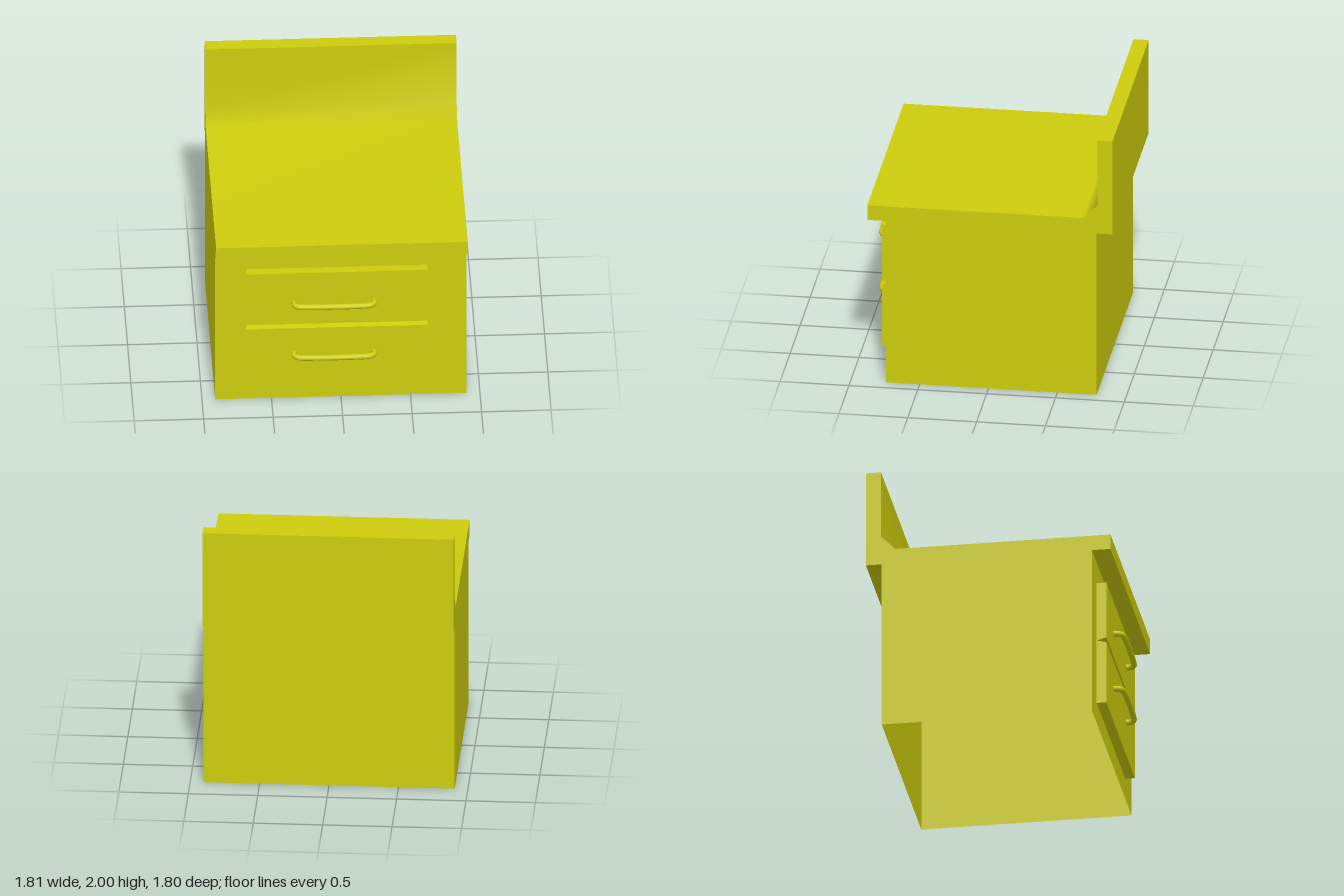
import * as THREE from 'three';

const W = 0.905; // half width of the cabinet
const material = new THREE.MeshStandardMaterial({ color: 0xcccc0d, side: THREE.DoubleSide });

function addMesh(parent, name, geometry) {
  const mesh = new THREE.Mesh(geometry, material);
  mesh.name = name;
  parent.add(mesh);
  return mesh;
}

// Sweeps a [z, y] profile from x0 to x1; it runs up the front, over the top and down the back
function sweep(profile, x0, x1, smooth = false) {
  const positions = [];
  const index = [];
  profile.forEach(([z, y], i) => {
    positions.push(x0, y, z, x1, y, z);
    const a = i * 2;
    if (i < profile.length - 1) index.push(a, a + 1, a + 3, a, a + 3, a + 2);
  });
  let geometry = new THREE.BufferGeometry();
  geometry.setAttribute('position', new THREE.Float32BufferAttribute(positions, 3));
  geometry.setIndex(index);
  if (!smooth) geometry = geometry.toNonIndexed();
  geometry.computeVertexNormals();
  return geometry;
}

// Flat end panel with the outline of a [z, y] profile, facing +x (side 1) or -x (side -1)
function endPanel(profile, x, side) {
  const shape = new THREE.Shape(profile.map(([z, y]) => new THREE.Vector2(-side * z, y)));
  return new THREE.ShapeGeometry(shape).rotateY(side * Math.PI / 2).translate(x, 0, 0);
}

function rectangle(PathType, x0, y0, x1, y1) {
  return new PathType([[x0, y0], [x1, y0], [x1, y1], [x0, y1]].map(p => new THREE.Vector2(...p)));
}

// Bowed pull whose two posts pass through the drawer front
function createHandle(y) {
  const handle = new THREE.Group();
  handle.name = 'handle';
  const half = [[0.285, 0.745], [0.288, 0.81], [0.288, 0.845], [0.262, 0.872], [0.2, 0.88]];
  const points = [
    ...half.map(([x, z]) => new THREE.Vector3(-x, 0, z)),
    ...half.slice().reverse().map(([x, z]) => new THREE.Vector3(x, 0, z)),
  ];
  const curve = new THREE.CatmullRomCurve3(points, false, 'centripetal');
  addMesh(handle, 'handleBar', new THREE.TubeGeometry(curve, 48, 0.021, 12));
  for (const side of [-1, 1]) {
    const cap = addMesh(handle, 'handlePostEnd', new THREE.CircleGeometry(0.021, 12).rotateY(Math.PI));
    cap.position.set(side * 0.285, 0, 0.745);
  }
  handle.position.set(-0.053, y, 0);
  return handle;
}

export function createModel() {
  const model = new THREE.Group();
  model.name = 'drawerCabinet';

  // Counter and backsplash profiles
  const counterEdge = [[0.745, 1.27], [0.88, 1.27], [0.88, 1.385]];
  const worktop = [[0.88, 1.385], [-0.685, 1.385], [-0.79, 1.49], [-0.79, 2]];
  const back = [[-0.79, 2], [-0.9, 2], [-0.9, 1.27], [-0.785, 1.27], [-0.785, 0]];
  addMesh(model, 'counterEdge', sweep(counterEdge, -W, W));
  addMesh(model, 'worktopAndBacksplash', sweep(worktop, -W, W, true));
  addMesh(model, 'backPanel', sweep(back, -W, W));

  // Side panels follow the whole outline
  const outline = [[0.745, 0], ...counterEdge, ...worktop.slice(1), ...back.slice(1)];
  for (const side of [-1, 1]) addMesh(model, 'sidePanel', endPanel(outline, side * W, side));

  // Front panel with the drawer opening; the cabinet is open underneath
  const left = 0.62, right = -0.685, low = 0.16, high = 1.11;
  const front = rectangle(THREE.Shape, -W, 0, W, 1.27);
  front.holes.push(rectangle(THREE.Path, right, low, left, high));
  addMesh(model, 'frontPanel', new THREE.ShapeGeometry(front).translate(0, 0, 0.745));

  // Two hollow drawer fronts with a V groove between them
  const drawers = [
    [[0.745, low], [0.815, low], [0.815, 0.638], [0.745, 0.655]],
    [[0.745, 0.655], [0.815, 0.675], [0.815, high], [0.745, high]],
  ];
  drawers.forEach((profile, i) => {
    const drawer = new THREE.Group();
    drawer.name = i ? 'upperDrawer' : 'lowerDrawer';
    addMesh(drawer, 'drawerFront', sweep(profile, right, left));
    addMesh(drawer, 'drawerLeftEnd', endPanel(profile, left, 1));
    addMesh(drawer, 'drawerRightEnd', endPanel(profile, right, -1));
    drawer.add(createHandle(i ? 0.859 : 0.424));
    model.add(drawer);
  });

  return model;
}
